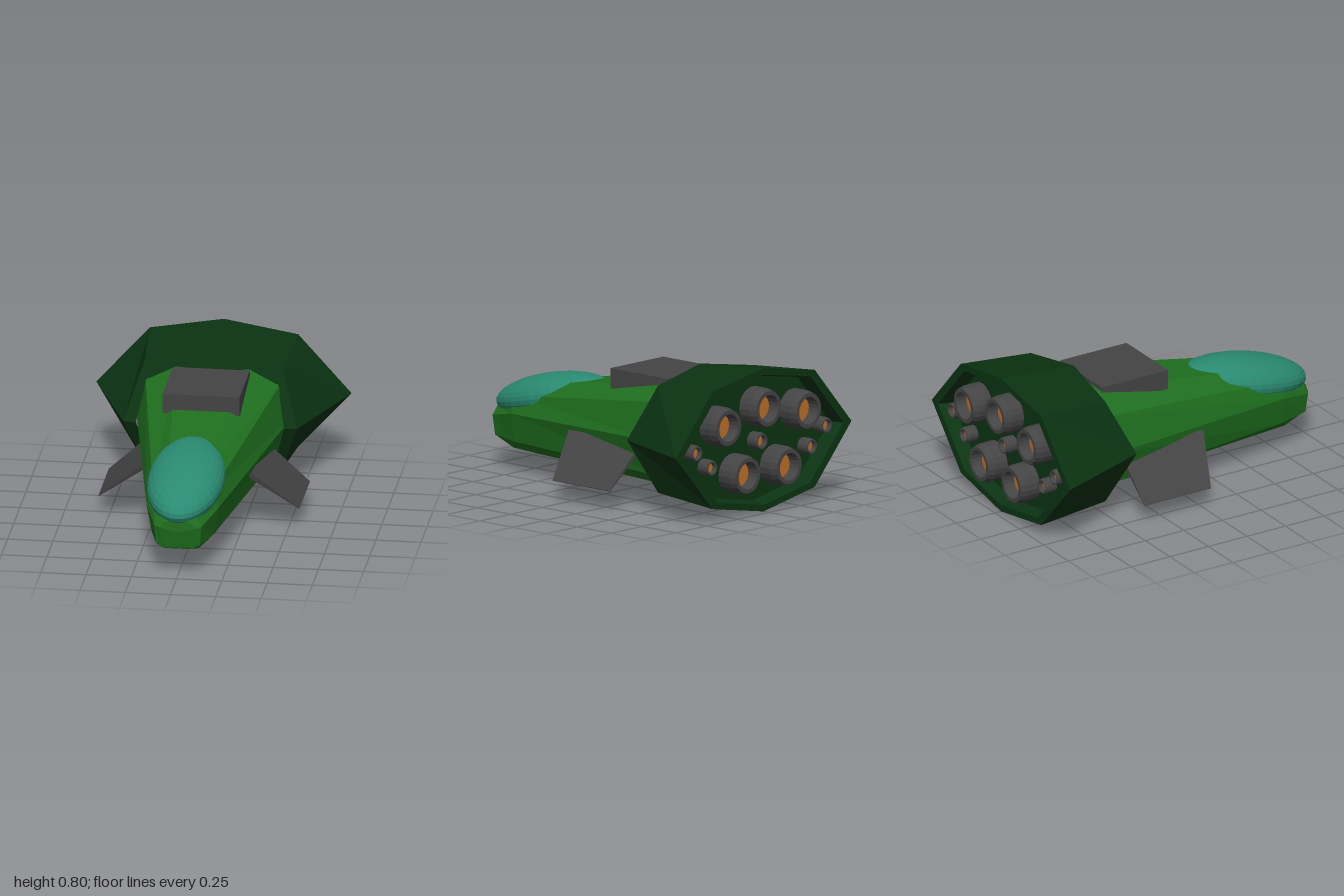
import * as THREE from 'three';

const mat = (color, extra = {}) => new THREE.MeshStandardMaterial({ color, flatShading: true, ...extra });
const HULL = mat(0x1f701f), SHROUD = mat(0x0b3312), CANOPY = mat(0x2a8a72);
const METAL = mat(0x444444), GLOW = mat(0xc07028);

function add(parent, name, geometry, material) {
  const mesh = new THREE.Mesh(geometry, material);
  mesh.name = name;
  parent.add(mesh);
  return mesh;
}

// Mirror a right-hand half section (bottom to top) into a closed ring
const ring = half => half.concat(
  half.filter(p => p[0] > 0).reverse().map(([x, y, z]) => [-x, y, z]));

// Single point repeated, used to close a loft
const tip = (n, p) => Array(n).fill(p);

// Skin a list of rings, each counter-clockwise seen from +z
function loft(rings) {
  const n = rings[0].length, index = [];
  for (let i = 0; i < rings.length - 1; i++) {
    for (let j = 0; j < n; j++) {
      const k = (j + 1) % n;
      const a = i * n + j, b = i * n + k, c = (i + 1) * n + k, d = (i + 1) * n + j;
      index.push(a, b, c, a, c, d);
    }
  }
  const g = new THREE.BufferGeometry();
  g.setAttribute('position', new THREE.Float32BufferAttribute(rings.flat(2), 3));
  g.setIndex(index);
  const flat = g.toNonIndexed();
  flat.computeVertexNormals();
  return flat;
}

// Tapering hull with a blunt nose
function makeHull(parent) {
  add(parent, 'hull', loft([
    tip(10, [0, 0.4, -0.55]),
    ring([[0.21, 0.1, -0.55], [0.37, 0.19, -0.55], [0.43, 0.395, -0.55], [0.38, 0.61, -0.55], [0.21, 0.695, -0.55]]),
    ring([[0.1, 0.12, 0.82], [0.17, 0.175, 0.75], [0.2, 0.335, 0.75], [0.165, 0.43, 0.75], [0.085, 0.49, 0.75]]),
    ring([[0.08, 0.155, 0.94], [0.12, 0.18, 0.94], [0.13, 0.29, 0.95], [0.1, 0.34, 0.94], [0.05, 0.36, 0.94]]),
    ring([[0.06, 0.165, 0.945], [0.1, 0.2, 0.95], [0.1, 0.285, 0.97], [0.07, 0.32, 0.97], [0.04, 0.33, 0.97]]),
    tip(10, [0, 0.26, 0.968]),
  ]), HULL);
}

// Flared engine shroud, with a front lip and a recessed rear panel
function makeShroud(parent) {
  const rear = (s, z) => ring([[0, 0, z], [0.41, 0.075, z], [0.705, 0.4, z], [0.41, 0.73, z], [0, 0.8, z]]
    .map(([x, y]) => [x * s, 0.4 + (y - 0.4) * s, z]));
  add(parent, 'engineShroud', loft([
    tip(8, [0, 0.4, -0.88]),
    rear(0.87, -0.88),
    rear(0.91, -0.96),
    rear(1, -0.96),
    ring([[0, 0.045, -0.48], [0.38, 0.1, -0.525], [0.48, 0.39, -0.385], [0.38, 0.7, -0.525], [0, 0.76, -0.485]]),
    ring([[0, 0.1, -0.455], [0.35, 0.18, -0.485], [0.41, 0.39, -0.375], [0.36, 0.61, -0.485], [0, 0.68, -0.455]]),
  ]), SHROUD);
}

// Rocket nozzle: bevelled cup with a glowing disc inside
function makeNozzle(parent, name, x, y, r, zEnd, depth) {
  const nozzle = new THREE.Group();
  nozzle.name = name;
  nozzle.position.set(x, y, zEnd);
  nozzle.rotation.x = -Math.PI / 2;
  const profile = [[r, -depth], [r, -0.36 * r], [0.9 * r, 0], [0.7 * r, 0], [0.62 * r, -0.6 * r]];
  add(nozzle, 'nozzleShell', new THREE.LatheGeometry(
    profile.map(([a, b]) => new THREE.Vector2(a, b)), 20), mat(0x444444, { side: THREE.DoubleSide }));
  const disc = add(nozzle, 'nozzleGlow', new THREE.CircleGeometry(0.64 * r, 20), GLOW);
  disc.rotation.x = -Math.PI / 2;
  disc.position.y = -0.58 * r;
  parent.add(nozzle);
}

function makeEngines(parent) {
  const engines = new THREE.Group();
  engines.name = 'engines';
  makeNozzle(engines, 'topEngine', 0, 0.58, 0.11, -1, 0.14);
  makeNozzle(engines, 'centreThruster', 0, 0.39, 0.048, -0.95, 0.09);
  for (const s of [-1, 1]) {
    makeNozzle(engines, 'upperEngine', s * 0.32, 0.52, 0.11, -1, 0.14);
    makeNozzle(engines, 'lowerEngine', s * 0.165, 0.23, 0.11, -1, 0.14);
    makeNozzle(engines, 'outerThruster', s * 0.52, 0.4, 0.045, -0.95, 0.09);
    makeNozzle(engines, 'innerThruster', s * 0.4, 0.3, 0.045, -0.95, 0.09);
  }
  parent.add(engines);
}

// Down-swept fin, thick at the root and sharp at the tip
function makeFin(parent, name, side, dz) {
  const g = new THREE.BoxGeometry(1, 1, 1);
  const p = g.attributes.position;
  for (let i = 0; i < p.count; i++) {
    const outer = (p.getX(i) > 0) === (side > 0), front = p.getZ(i) > 0;
    const t = Math.sign(p.getY(i)) * (outer ? 0.002 : 0.014);
    const x = (outer ? 0.558 : 0.3) + t * 0.66;
    const y = (outer ? 0.108 : 0.328) + t * 0.75;
    p.setXYZ(i, side * x, y, (front ? (outer ? 0.1 : 0.21) : -0.33) + dz);
  }
  g.computeVertexNormals();
  add(parent, name, g, METAL);
}

export function createModel() {
  const ship = new THREE.Group();
  ship.name = 'spaceship';
  makeHull(ship);
  makeShroud(ship);
  makeEngines(ship);

  // Tilted ellipsoid canopy over the nose
  const canopy = add(ship, 'canopy', new THREE.SphereGeometry(1, 32, 16), CANOPY);
  canopy.scale.set(0.21, 0.126, 0.405);
  canopy.rotation.x = 0.21;
  canopy.position.set(0, 0.432, 0.602);

  // Box on the roof
  const box = add(ship, 'roofBox', new THREE.BoxGeometry(0.425, 0.112, 0.43), METAL);
  box.position.set(0, 0.643, -0.225);

  // Fins, the right one set slightly further back
  makeFin(ship, 'leftFin', 1, 0);
  makeFin(ship, 'rightFin', -1, -0.053);
  return ship;
}
